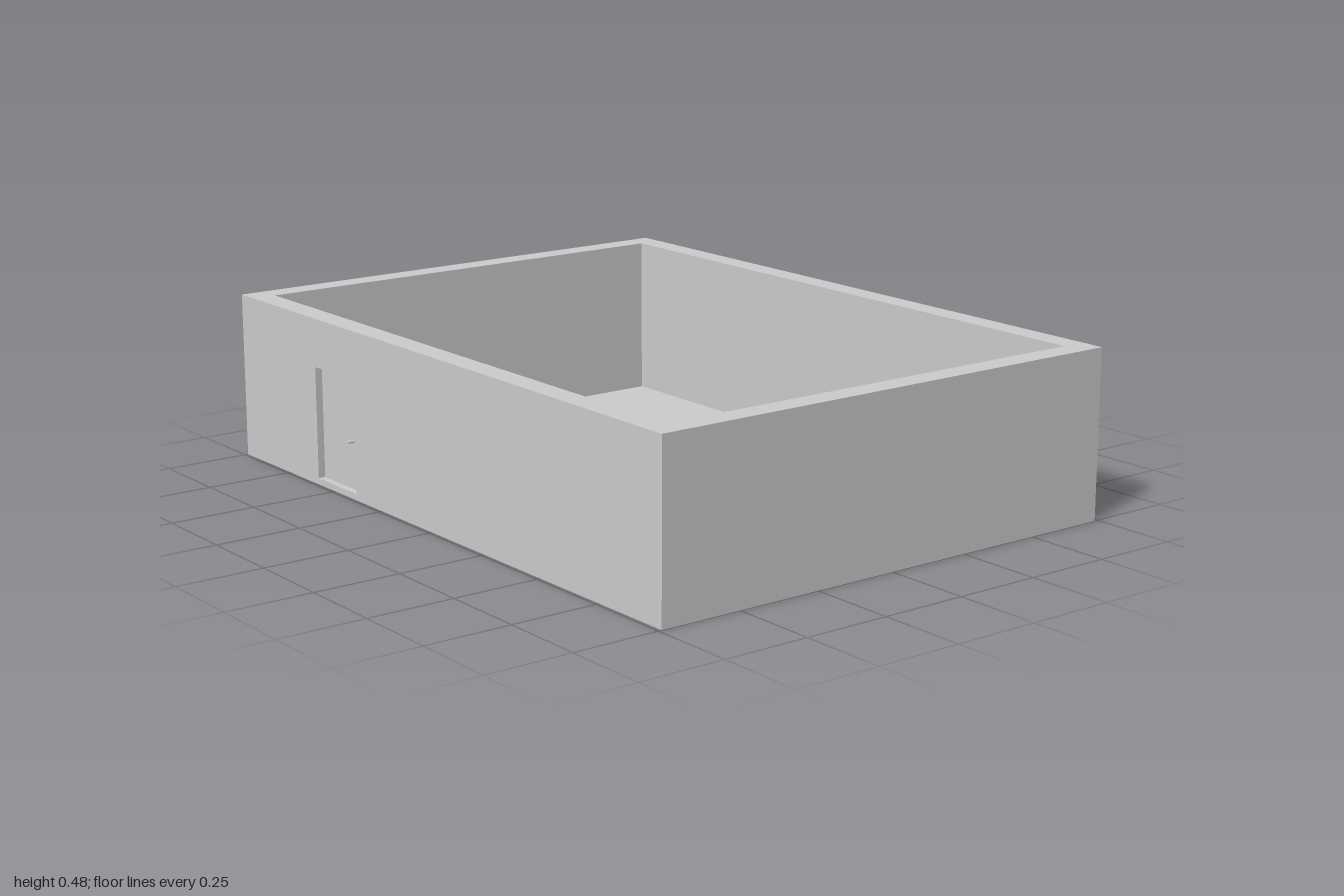
import * as THREE from 'three';

const W = 1, D = 0.74, H = 0.482, T = 0.07, FLOOR = 0.01;
const door = { x0: -0.59, x1: -0.385, y0: 0.018, y1: 0.342, z: 0.712, t: 0.014 };

export function createModel() {
  const group = new THREE.Group();
  const mat = new THREE.MeshStandardMaterial({ color: 0xcccccc, flatShading: true });

  const add = (name, geometry, x = 0, y = 0, z = 0) => {
    const mesh = new THREE.Mesh(geometry, mat);
    mesh.name = name;
    mesh.position.set(x, y, z);
    group.add(mesh);
    return mesh;
  };
  const polygon = (pts) => pts.map(([x, y]) => new THREE.Vector2(x, y));

  // Floor slab between the walls
  add('floor', new THREE.BoxGeometry(2 * (W - T), FLOOR, 2 * (D - T)), 0, FLOOR / 2, 0);

  // Back and side walls as one U-shaped plan, raised to full height
  const plan = new THREE.Shape(polygon([
    [-W, -D + T], [-W + T, -D + T], [-W + T, D - T], [W - T, D - T],
    [W - T, -D + T], [W, -D + T], [W, D], [-W, D],
  ]));
  const walls = new THREE.ExtrudeGeometry(plan, { depth: H, bevelEnabled: false });
  add('backAndSideWalls', walls.rotateX(-Math.PI / 2));

  // Front wall with the doorway cut through it
  const front = new THREE.Shape(polygon([[-W, 0], [W, 0], [W, H], [-W, H]]));
  front.holes.push(new THREE.Path(polygon([
    [door.x0, door.y0], [door.x0, door.y1], [door.x1, door.y1], [door.x1, door.y0],
  ])));
  add('frontWall', new THREE.ExtrudeGeometry(front, { depth: T, bevelEnabled: false }), 0, 0, D - T);

  // Thin door panel set back in the doorway
  add('door', new THREE.BoxGeometry(door.x1 - door.x0, door.y1 - door.y0, door.t),
    (door.x0 + door.x1) / 2, (door.y0 + door.y1) / 2, door.z);

  // Small handle on each face of the door
  for (const side of [-1, 1]) {
    add(side > 0 ? 'outerHandle' : 'innerHandle', new THREE.BoxGeometry(0.012, 0.006, 0.02),
      -0.428, 0.157, door.z + side * (door.t / 2 + 0.01));
  }
  return group;
}
